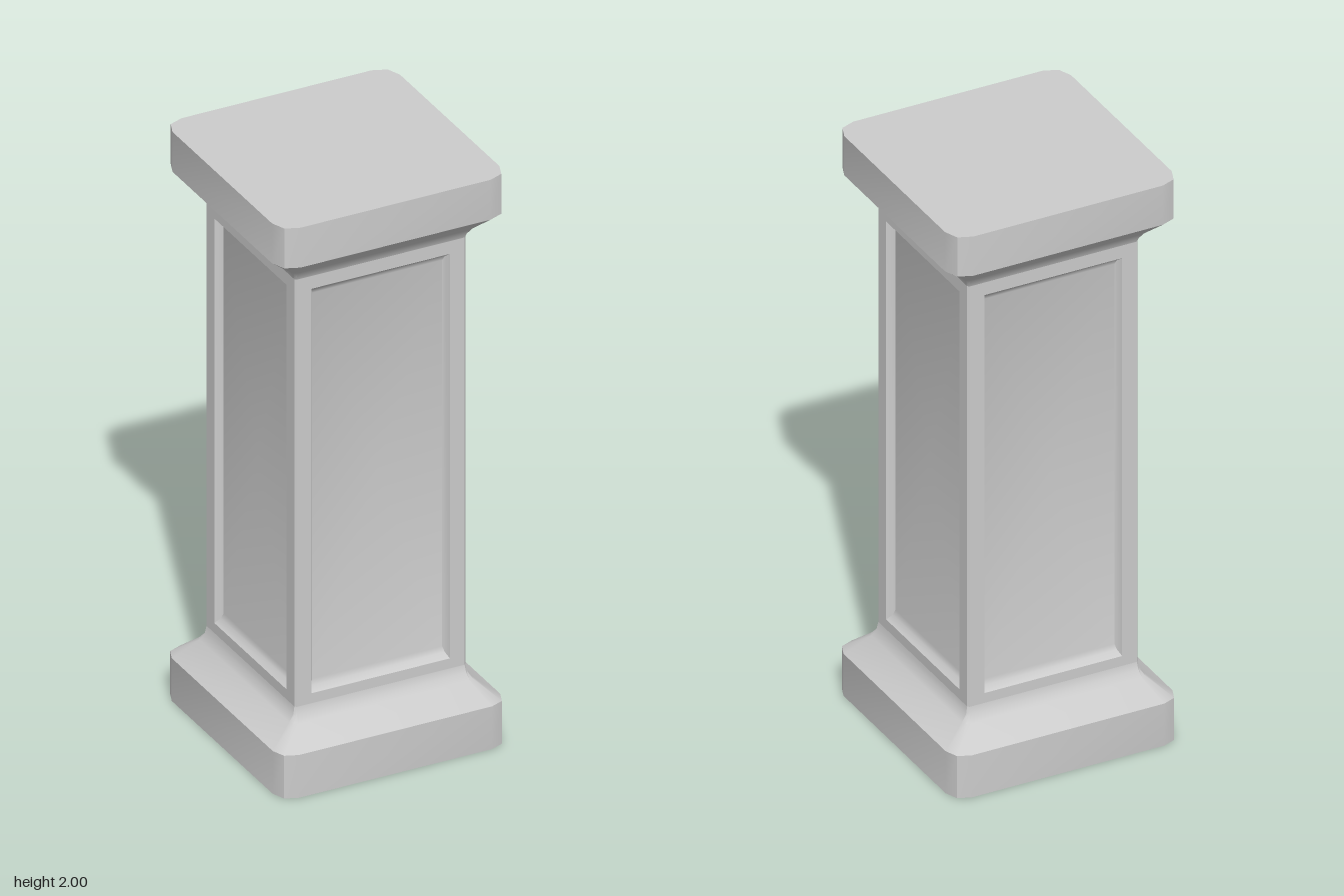
import * as THREE from 'three';
import { toCreasedNormals } from 'three/addons/utils/BufferGeometryUtils.js';

const material = new THREE.MeshStandardMaterial({ color: 0xcccccc });
const HALF = 0.297;   // half width of the shaft
const EDGE = 0.006;   // small bevel on the shaft corners
const LOW = 0.26, HIGH = 1.76;

// Skin between rings of points, each an array of [x, y, z].
function loft(name, rings, crease = 0.6, closed = true) {
  const n = rings[0].length, pos = [];
  for (let i = 0; i < rings.length - 1; i++) {
    for (let j = 0; j < (closed ? n : n - 1); j++) {
      const k = (j + 1) % n;
      const a = rings[i][j], b = rings[i][k], c = rings[i + 1][k], d = rings[i + 1][j];
      pos.push(...a, ...b, ...c, ...a, ...c, ...d);
    }
  }
  const geometry = new THREE.BufferGeometry();
  geometry.setAttribute('position', new THREE.Float32BufferAttribute(pos, 3));
  const mesh = new THREE.Mesh(toCreasedNormals(geometry, crease), material);
  mesh.name = name;
  return mesh;
}

// Square ring of half width h whose corners are cut by c; m places the middle corner point.
function squareRing(h, y, c, m = 0.28) {
  const ring = [];
  let corner = [[h - c, h], [h - m * c, h - m * c], [h, h - c]];
  for (let q = 0; q < 4; q++) {
    corner.forEach(([x, z]) => ring.push([x, y, z]));
    corner = corner.map(([x, z]) => [z, -x]);
  }
  return ring;
}

// Upright rectangle ring facing +z.
const rectRing = (w, y0, y1, z) => [[-w, y0, z], [w, y0, z], [w, y1, z], [-w, y1, z]];

export function createModel() {
  const group = new THREE.Group();
  group.name = 'pedestal';

  // Base slab with a flare running up into the shaft
  group.add(loft('base', [
    squareRing(0, 0, 0),
    squareRing(0.395, 0, 0.06),
    squareRing(0.395, 0.15, 0.06),
    squareRing(0.318, 0.213, 0.02),
    squareRing(0.302, 0.235, 0.008, 0.5),
    squareRing(HALF, LOW, EDGE, 0.5),
  ]));

  // Top slab with a flare underneath
  group.add(loft('capital', [
    squareRing(HALF, HIGH, EDGE, 0.5),
    squareRing(0.303, 1.775, 0.008, 0.5),
    squareRing(0.318, 1.795, 0.02),
    squareRing(0.395, 1.86, 0.065),
    squareRing(0.395, 2, 0.065),
    squareRing(0, 2, 0),
  ]));

  // Four shaft sides, each a frame around a sunken panel, with a bevelled corner
  for (let i = 0; i < 4; i++) {
    const side = new THREE.Group();
    side.name = 'shaftSide';
    side.rotation.y = i * Math.PI / 2;
    const w = HALF - EDGE;
    side.add(loft('framedPanel', [
      rectRing(w, LOW, HIGH, HALF),
      rectRing(0.24, 0.295, 1.715, HALF),
      rectRing(0.232, 0.311, 1.7, HALF - 0.019),
      rectRing(0.226, 0.33, 1.685, HALF - 0.025),
      rectRing(0, 1, 1, HALF - 0.025),
    ]));
    side.add(loft('cornerBevel', [LOW, HIGH].map((y) => [[w, y, HALF], [HALF, y, w]]), 0.6, false));
    group.add(side);
  }
  return group;
}
